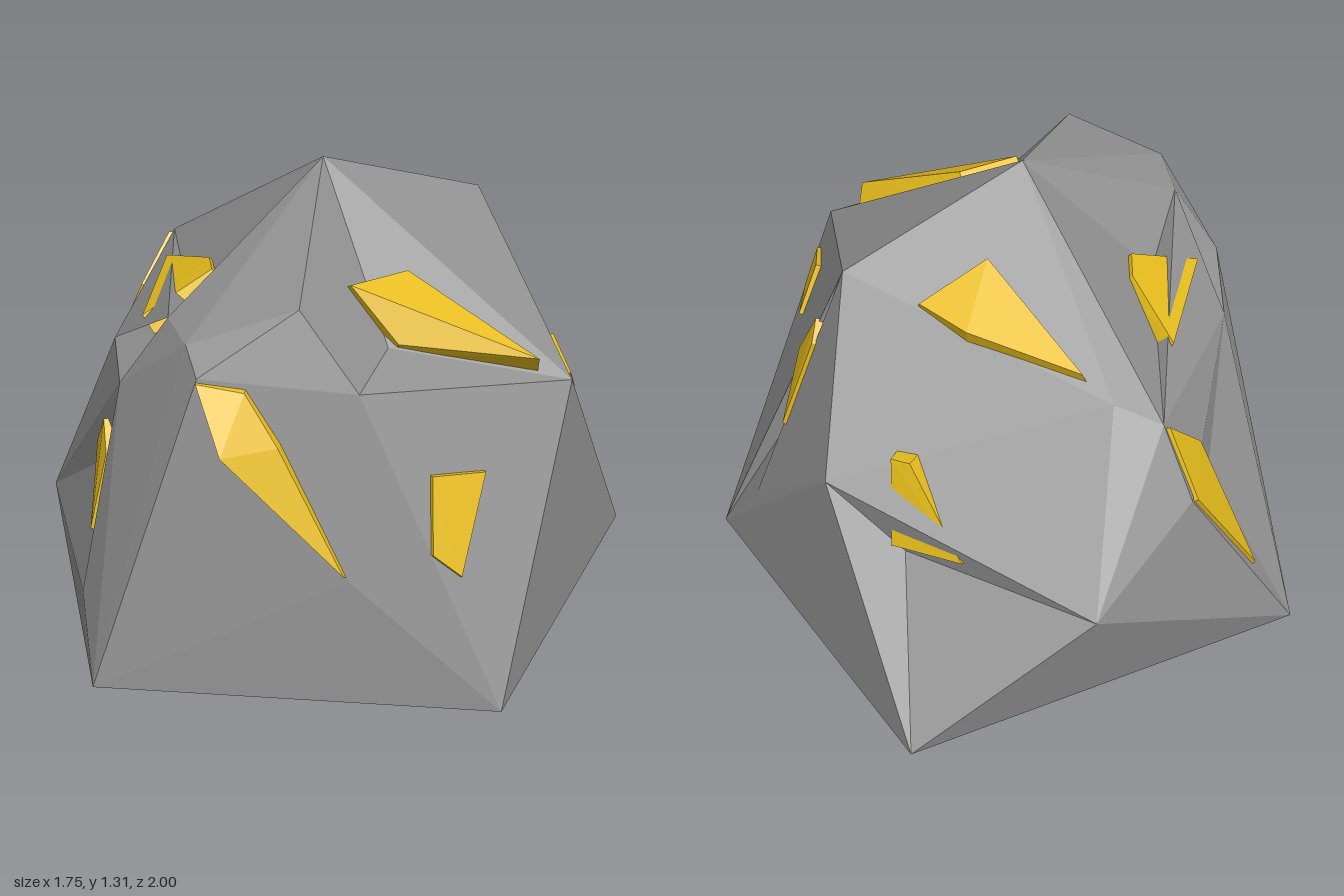
import * as THREE from 'three';
import { ConvexGeometry } from 'three/addons/geometries/ConvexGeometry.js';

const vec = (a) => new THREE.Vector3(...a);
const CORE = new THREE.Vector3(0, 0.4, 0);

// Corners of the faceted boulder
const ROCK = [
  // ground outline and slightly bulging underside
  [-0.21, 0.02, 1], [0.86, 0.02, 0.65], [0.86, 0.02, -0.48], [-0.21, 0.02, -1], [-0.88, 0.02, 0.06], [0, 0, 0.08],
  // peak and shoulders
  [0.08, 1.31, 0.08], [0.87, 0.82, 0.19], [0.27, 1.12, 0.67], [0.44, 0.91, 0.67], [0.38, 1.1, -0.4],
  // back
  [0.22, 0.65, -0.75], [0.65, 0.28, -0.55], [-0.59, 0.41, -0.63],
  // right-hand shoulder
  [-0.45, 0.9, -0.31], [-0.58, 0.85, -0.26], [-0.69, 0.64, -0.28],
  // front
  [-0.44, 0.78, 0.39], [-0.34, 0.19, 0.81], [-0.27, 0.8, 0.67], [-0.14, 1, 0.62],
  [-0.01, 1.01, 0.77], [0.05, 0.95, 0.83], [0.46, 0.4, 0.77],
];

// Hollows: the lowest point, and a point over each facet that sinks to it
const DENTS = [
  { low: [0.42, 0.93, 0.42], over: [[0.41, 1.08, 0.31], [0.53, 0.95, 0.51]] },
  { low: [-0.22, 0.9, 0.33], over: [[-0.17, 1.03, 0.36], [-0.28, 0.86, 0.56]] },
  { low: [-0.36, 0.5, 0.57], over: [[-0.35, 0.59, 0.62]] },
  { low: [0, 0.45, -0.69], over: [[-0.19, 0.36, -0.79]] },
  { low: [0.5, 0.68, -0.4], over: [[0.5, 0.68, -0.4]] },
  { low: [-0.62, 0.55, -0.04], over: [[-0.62, 0.55, -0.04]] },
];

// Outlines of the ore pieces set into the surface
const ORE = {
  topBackOre: [[-0.37, 0.96, -0.31], [-0.02, 1.03, -0.39], [0.16, 1.02, -0.36], [0.04, 1.13, -0.17]],
  topRightOre: [[-0.44, 0.86, 0.01], [-0.24, 0.98, 0.16], [-0.17, 0.97, 0.25], [-0.29, 0.86, 0.45]],
  topLeftOre: [[0.29, 1.09, 0.41], [0.4, 1.09, 0.24], [0.82, 0.9, 0.27], [0.44, 0.93, 0.41]],
  frontOre: [[0.04, 0.95, 0.84], [0.17, 0.93, 0.8], [0.27, 0.78, 0.8], [0.46, 0.4, 0.77], [0.15, 0.78, 0.92]],
  frontLeftOre: [[0.62, 0.68, 0.6], [0.72, 0.65, 0.46], [0.72, 0.39, 0.62], [0.63, 0.46, 0.65]],
  frontRightOre: [[-0.37, 0.62, 0.56], [-0.33, 0.55, 0.64], [-0.33, 0.31, 0.68], [-0.43, 0.42, 0.52], [-0.43, 0.5, 0.49]],
  rightOre: [[-0.58, 0.85, -0.26], [-0.59, 0.7, -0.12], [-0.8, 0.26, -0.04], [-0.69, 0.63, -0.27]],
  leftOre: [[0.82, 0.77, 0.07], [0.73, 0.82, -0.08], [0.74, 0.66, -0.15], [0.8, 0.68, -0.02]],
  backLeftOre: [[0.42, 0.9, -0.38], [0.42, 0.84, -0.43], [0.51, 0.53, -0.49], [0.52, 0.73, -0.35]],
  backOre: [[0.06, 0.75, -0.66], [0, 0.75, -0.65], [-0.2, 0.48, -0.69], [0.03, 0.47, -0.71]],
};

// Convex boulder whose chosen facets are replaced by fans down to a low point
function rockGeometry() {
  const position = new ConvexGeometry(ROCK.map(vec)).getAttribute('position');
  const corner = (i) => new THREE.Vector3().fromBufferAttribute(position, i);
  let facets = [];
  for (let i = 0; i < position.count; i += 3) facets.push([corner(i), corner(i + 1), corner(i + 2)]);

  for (const { low, over } of DENTS) {
    const rays = over.map((p) => {
      const out = vec(p).sub(CORE).normalize();
      return new THREE.Ray(CORE.clone().addScaledVector(out, 3), out.clone().negate());
    });
    const sunk = facets.filter((f) => rays.some((r) => r.intersectTriangle(...f, true, new THREE.Vector3())));
    const edges = sunk.flatMap(([a, b, c]) => [[a, b], [b, c], [c, a]]);
    const rim = edges.filter(([a, b]) => !edges.some(([c, d]) => a.equals(d) && b.equals(c)));
    facets = facets.filter((f) => !sunk.includes(f));
    for (const [a, b] of rim) facets.push([a, b, vec(low)]);
  }
  const geometry = new THREE.BufferGeometry().setFromPoints(facets.flat());
  geometry.computeVertexNormals();
  return geometry;
}

// A bevelled slab that follows its outline and is sunk into the rock
function oreGeometry(outline, rock) {
  const pts = outline.map(vec);
  const centre = pts.reduce((s, p) => s.add(p), new THREE.Vector3()).divideScalar(pts.length);
  const normal = pts[2].clone().sub(pts[0]).cross(pts[3].clone().sub(pts[1])).normalize();
  if (normal.dot(centre.clone().sub(CORE)) < 0) normal.negate();

  const ray = new THREE.Raycaster();
  const corners = [];
  for (const p of pts) {
    // height of the rock surface relative to this corner
    ray.set(p.clone().addScaledVector(normal, 1), normal.clone().negate());
    const hit = ray.intersectObject(rock)[0];
    const surface = hit ? THREE.MathUtils.clamp(1 - hit.distance, -0.12, 0.12) : 0;
    corners.push(p.clone().addScaledVector(normal, Math.min(0, surface) - 0.03));
    corners.push(p.clone().lerp(centre, 0.06).addScaledVector(normal, Math.max(0, surface + 0.012)));
  }
  return new ConvexGeometry(corners);
}

export function createModel() {
  const group = new THREE.Group();
  group.name = 'oreBoulder';

  const stone = new THREE.MeshStandardMaterial({ color: 0x949494, flatShading: true });
  const gold = new THREE.MeshStandardMaterial({ color: 0xe6bc1c, flatShading: true });

  const rock = new THREE.Mesh(rockGeometry(), stone);
  rock.name = 'rock';
  group.add(rock);

  for (const [name, outline] of Object.entries(ORE)) {
    const ore = new THREE.Mesh(oreGeometry(outline, rock), gold);
    ore.name = name;
    group.add(ore);
  }
  return group;
}
